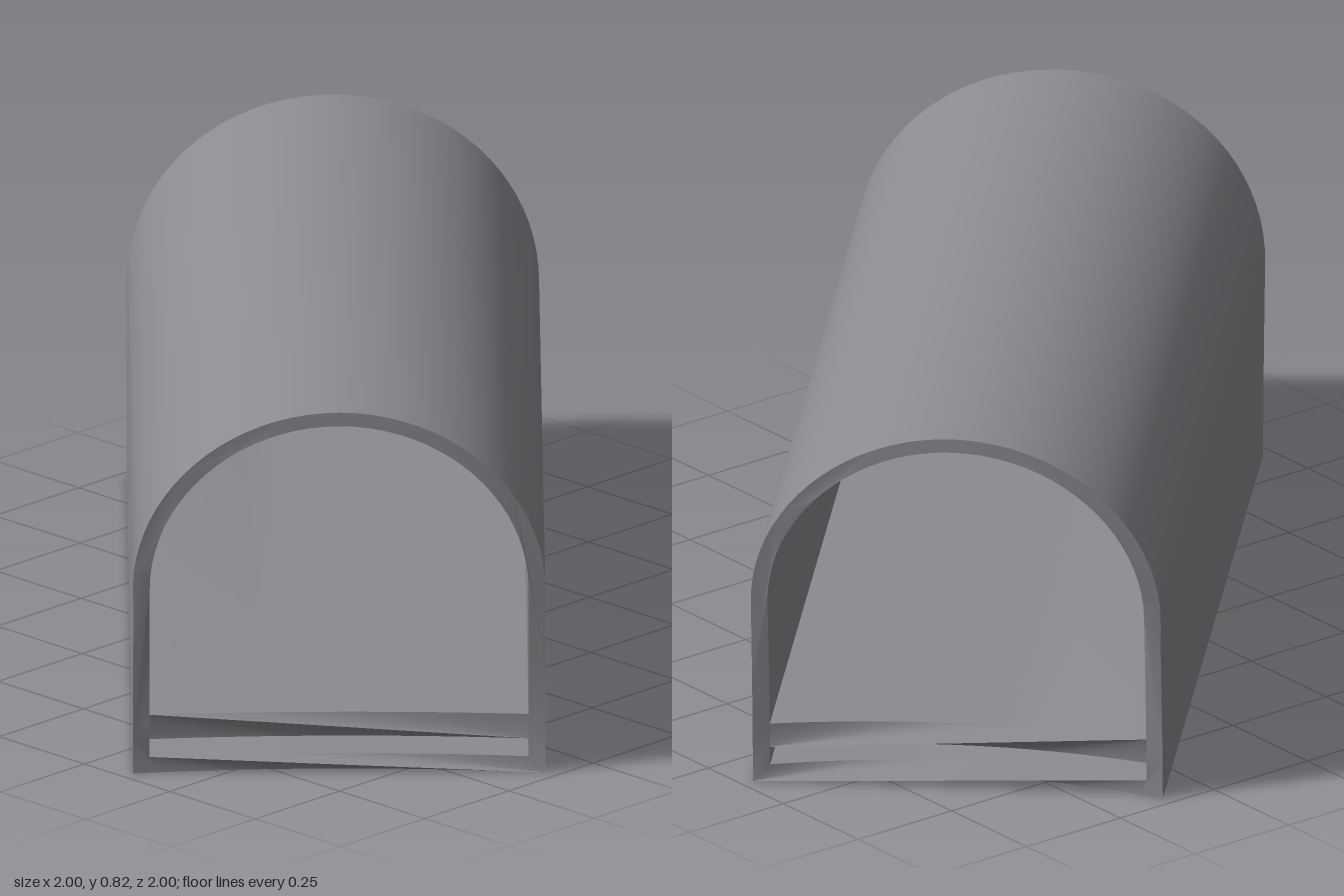
import * as THREE from 'three';
import { toCreasedNormals } from 'three/addons/utils/BufferGeometryUtils.js';

const grey = new THREE.MeshStandardMaterial({ color: 0x8a8c90 });
grey.name = 'grey';

// Arch outline: flat base, straight walls, elliptical crown
function archPoints(halfWidth, base, spring, top) {
  const pts = [];
  for (let i = 0; i <= 16; i++) pts.push(new THREE.Vector2(-halfWidth + (i / 16) * 2 * halfWidth, base));
  for (let i = 1; i < 5; i++) pts.push(new THREE.Vector2(halfWidth, base + (i / 5) * (spring - base)));
  for (let i = 0; i <= 40; i++) {
    const a = (i / 40) * Math.PI;
    pts.push(new THREE.Vector2(halfWidth * Math.cos(a), spring + (top - spring) * Math.sin(a)));
  }
  for (let i = 4; i > 0; i--) pts.push(new THREE.Vector2(-halfWidth, base + (i / 5) * (spring - base)));
  return pts;
}

// Flat slab outline, divided along its width so the ends can curve
function slabPoints(halfWidth, low, high) {
  const pts = [];
  for (let i = 0; i <= 16; i++) pts.push(new THREE.Vector2(-halfWidth + (i / 16) * 2 * halfWidth, low));
  for (let i = 16; i >= 0; i--) pts.push(new THREE.Vector2(-halfWidth + (i / 16) * 2 * halfWidth, high));
  return pts;
}

// Distance of the curved end face from the middle: crown leans out, floor is hollowed
function endDistance(x, y, hollow) {
  const lean = 0.945 + 0.073 * THREE.MathUtils.smoothstep(y, 0, 0.82);
  const fade = Math.max(0, 1 - y / 0.4);
  return lean - hollow * fade * (1 - (x / 0.43) ** 2);
}

function makePart(name, shape) {
  const geo = new THREE.ExtrudeGeometry(shape, { depth: 1, bevelEnabled: false });
  const p = geo.attributes.position;
  for (let i = 0; i < p.count; i++) {
    const x = p.getX(i), y = p.getY(i);
    p.setZ(i, p.getZ(i) > 0.5 ? endDistance(x, y, 0.08) : -endDistance(x, y, 0.03));
  }
  const mesh = new THREE.Mesh(toCreasedNormals(geo, 0.6), grey);
  mesh.name = name;
  return mesh;
}

export function createModel() {
  const group = new THREE.Group();
  group.name = 'archedTunnel';

  // Hollow arched shell with a thin base
  const shell = new THREE.Shape(archPoints(0.43, 0, 0.42, 0.82));
  shell.holes.push(new THREE.Path(archPoints(0.395, 0.035, 0.42, 0.79).reverse()));
  group.add(makePart('tunnelShell', shell));

  // Raised floor above a narrow slot
  group.add(makePart('floorDeck', new THREE.Shape(slabPoints(0.395, 0.075, 0.13))));

  // The tunnel runs diagonally
  group.rotation.y = Math.PI * 0.75;
  const root = new THREE.Group();
  root.name = 'model';
  root.add(group);
  return root;
}
